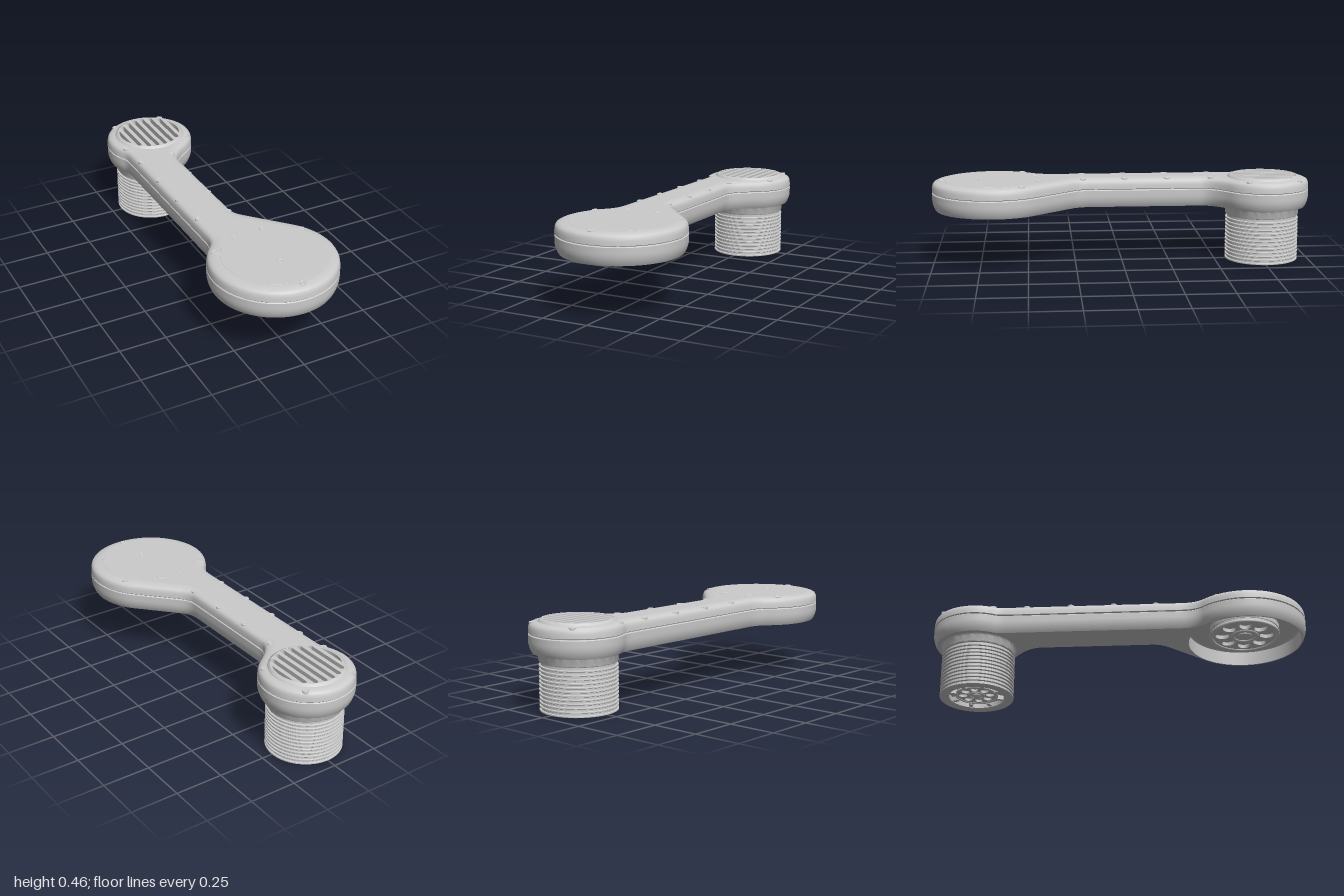
import * as THREE from 'three';
import { toCreasedNormals } from 'three/addons/utils/BufferGeometryUtils.js';

const BIG = { z: 0.675, r: 0.325 };   // wide disc end
const SMALL = { z: -0.76, r: 0.24 };  // grip end
const grey = new THREE.MeshStandardMaterial({ color: 0xcccccc });
const greyDouble = new THREE.MeshStandardMaterial({ color: 0xcccccc, side: THREE.DoubleSide });

function add(parent, name, geometry, x = 0, y = 0, z = 0, material = grey) {
  const mesh = new THREE.Mesh(geometry, material);
  mesh.name = name;
  mesh.position.set(x, y, z);
  parent.add(mesh);
  return mesh;
}

const lathe = (pts, segments = 72) => toCreasedNormals(
  new THREE.LatheGeometry(pts.map(p => new THREE.Vector2(p[0], p[1])), segments), 0.6);

// Plan outline (x, z) with outward normals
function makeOutline() {
  const s = new THREE.Shape();
  s.absarc(0, BIG.z, BIG.r, -0.739, Math.PI + 0.7625, false);
  s.quadraticCurveTo(-0.2, 0.414, -0.2, 0.34);
  s.lineTo(-0.2, -0.58);
  s.quadraticCurveTo(-0.2, -0.626, -0.21, -0.644);
  s.absarc(0, SMALL.z, SMALL.r, Math.PI - 0.505, 2 * Math.PI + 0.948, false);
  s.quadraticCurveTo(0.025, -0.483, 0.025, -0.42);
  s.lineTo(0.025, 0.18);
  s.quadraticCurveTo(0.025, 0.2205, 0.06, 0.259);
  s.closePath();
  const pts = s.getSpacedPoints(320).slice(0, -1);
  const n = pts.length;
  return pts.map((p, i) => {
    const t = pts[(i + 1) % n].clone().sub(pts[(i + n - 1) % n]).normalize();
    return { p, normal: new THREE.Vector2(t.y, -t.x) };
  });
}
const inset = (outline, d) => outline.map(o => o.p.clone().addScaledVector(o.normal, -d));

// Wall through a list of [inset, height] loops
function loft(outline, profile) {
  const n = outline.length, pos = [], index = [];
  profile.forEach(([d, y]) => inset(outline, d).forEach(p => pos.push(p.x, y, p.y)));
  for (let k = 0; k < profile.length - 1; k++) {
    for (let i = 0; i < n; i++) {
      const a = k * n + i, b = k * n + (i + 1) % n;
      index.push(a, a + n, b, b, a + n, b + n);
    }
  }
  const g = new THREE.BufferGeometry();
  g.setAttribute('position', new THREE.Float32BufferAttribute(pos, 3));
  g.setIndex(index);
  return toCreasedNormals(g, 0.6);
}

// Flat cap with one round hole, facing up or down
function cap(points, y, up, holeZ, holeR) {
  const sign = up ? -1 : 1;
  const shape = new THREE.Shape(points.map(p => new THREE.Vector2(p.x, sign * p.y)));
  shape.holes.push(new THREE.Path().absarc(0, sign * holeZ, holeR, 0, 2 * Math.PI));
  return new THREE.ShapeGeometry(shape, 36).rotateX(sign * Math.PI / 2).translate(0, y, 0);
}

// Horizontal round plate with holes; its top is at y = 0
function plate(radius, holes, depth) {
  const shape = new THREE.Shape().absarc(0, 0, radius, 0, 2 * Math.PI);
  shape.holes.push(...holes);
  return new THREE.ExtrudeGeometry(shape, { depth, bevelEnabled: false, curveSegments: 32 })
    .rotateX(Math.PI / 2);
}
function holeRing(count, ringR, rx, ry) {
  return Array.from({ length: count }, (_, i) => {
    const a = i / count * 2 * Math.PI;
    return new THREE.Path().absellipse(Math.cos(a) * ringR, Math.sin(a) * ringR, rx, ry, 0, 2 * Math.PI, false, a);
  });
}

// Downward facing spoked wheel with rims and a hub
function wheel(name, radius, y, z) {
  const g = new THREE.Group();
  g.name = name;
  g.position.set(0, y, z);
  add(g, 'spokes', plate(radius * 0.95, holeRing(8, radius * 0.62, radius * 0.2, radius * 0.17), 0.022), 0, 0.022);
  for (const r of [0.94, 0.34]) {
    const rim = add(g, 'rim', new THREE.TorusGeometry(radius * r, radius * 0.05, 8, 48));
    rim.rotation.x = Math.PI / 2;
  }
  add(g, 'hub', lathe([[0, -0.014], [radius * 0.12, -0.014], [radius * 0.2, -0.004], [radius * 0.2, 0.02]], 32));
  return g;
}

// Slots of the grille, with a half moon at each side
function grilleHoles() {
  const holes = [];
  for (const x of [-0.115, -0.069, -0.023, 0.023, 0.069, 0.115]) {
    const w = 0.012, h = Math.sqrt(0.175 ** 2 - x * x) - w;
    const p = new THREE.Path();
    p.absarc(x, h, w, 0, Math.PI);
    p.absarc(x, -h, w, Math.PI, 2 * Math.PI);
    p.closePath();
    holes.push(p);
  }
  for (const a of [0, Math.PI]) {
    const p = new THREE.Path().absarc(0, 0, 0.17, a - 0.5, a + 0.5);
    p.closePath();
    holes.push(p);
  }
  return holes;
}

export function createModel() {
  const model = new THREE.Group();
  model.name = 'handle';
  const outline = makeOutline();

  // Lower and upper covers, with a seam groove between them
  const lower = [[0.018, 0.29], [0.012, 0.3], [0.005, 0.318], [0.001, 0.335], [0, 0.35],
    [0, 0.38], [0.003, 0.383], [0.014, 0.383], [0.014, 0.386]];
  const upper = [[0.014, 0.386], [0.003, 0.386], [0, 0.389], [0.001, 0.41], [0.004, 0.424],
    [0.009, 0.433], [0.02, 0.439], [0.036, 0.443], [0.055, 0.445]];
  add(model, 'lowerCover', loft(outline, lower));
  add(model, 'upperCover', loft(outline, upper));
  add(model, 'lowerCoverUnderside', cap(inset(outline, 0.018), 0.29, false, BIG.z, 0.3));
  add(model, 'upperCoverTop', cap(inset(outline, 0.055), 0.445, true, SMALL.z, 0.178));

  // Hollow underside of the disc with its wheel
  add(model, 'recess', lathe([[0.3, 0.29], [0.3, 0.366], [0.292, 0.372], [0, 0.372]]), 0, 0, BIG.z, greyDouble);
  model.add(wheel('discWheel', 0.19, 0.325, BIG.z));
  add(model, 'wheelMount', new THREE.CylinderGeometry(0.185, 0.185, 0.03, 64), 0, 0.36, BIG.z);

  // Flush plate on the disc
  add(model, 'discPlate', lathe([[0.26, 0.443], [0.258, 0.4458], [0, 0.4458]]), 0, 0, BIG.z);

  // Raised slotted grille
  add(model, 'grille', plate(0.178, grilleHoles(), 0.03), 0, 0.456, SMALL.z);
  add(model, 'grilleRim', lathe([[0.193, 0.443], [0.19, 0.449], [0.178, 0.456]]), 0, 0, SMALL.z);
  add(model, 'grilleFloor', new THREE.CylinderGeometry(0.19, 0.19, 0.01, 48), 0, 0.422, SMALL.z);

  // Ribbed grip with an open end, and the collar above it
  const grip = [[0, 0.03], [0.145, 0.03], [0.145, 0.004], [0.15, 0], [0.155, 0]];
  for (let i = 0; i < 12; i++) {
    const y = i * 0.02;
    grip.push([0.187, y], [0.193, y], [0.195, y + 0.002], [0.195, y + 0.008], [0.193, y + 0.01],
      [0.185, y + 0.01], [0.185, y + 0.02]);
  }
  grip.push([0.185, 0.242], [0.192, 0.244], [0.196, 0.25], [0.196, 0.282], [0.2, 0.288], [0.206, 0.292]);
  add(model, 'grip', lathe(grip), 0, 0, -0.755);
  model.add(wheel('gripWheel', 0.115, 0.016, -0.755));
  for (let i = 0; i < 8; i++) {
    const a = (i + 0.5) / 8 * 2 * Math.PI;
    const rib = add(model, 'gripEndRib', new THREE.BoxGeometry(0.04, 0.024, 0.02),
      Math.cos(a) * 0.13, 0.019, -0.755 + Math.sin(a) * 0.13);
    rib.rotation.y = -a;
  }

  // Screws, set on the cover surface
  const screw = lathe([[0.018, -0.01], [0.018, 0.001], [0.015, 0.0025], [0.011, 0.0005],
    [0.006, 0.0015], [0.005, 0.0003], [0, 0.0003]], 20);
  const spots = [[-0.14, -0.925], [0.14, -0.925], [-0.187, -0.656], [0.18, -0.656], [-0.175, -0.477],
    [0.007, -0.477], [-0.175, -0.243], [-0.005, -0.243], [-0.175, -0.016], [-0.005, -0.016],
    [-0.17, 0.206], [0, 0.206], [-0.095, 0.455], [0.068, 0.445], [-0.243, 0.528], [0.243, 0.528],
    [0, 0.745], [0, 0.95]];
  for (const [x, z] of spots) {
    const spot = new THREE.Vector2(x, z);
    const edge = Math.min(...outline.map(o => o.p.distanceTo(spot)));
    const k = upper.findIndex(([d], i) => i > 2 && d >= edge);
    let y = 0.4455;
    if (k > 0) {
      const [d0, y0] = upper[k - 1], [d1, y1] = upper[k];
      y = y0 + (y1 - y0) * (edge - d0) / (d1 - d0);
    }
    add(model, 'screw', screw, x, y, z);
  }
  return model;
}
